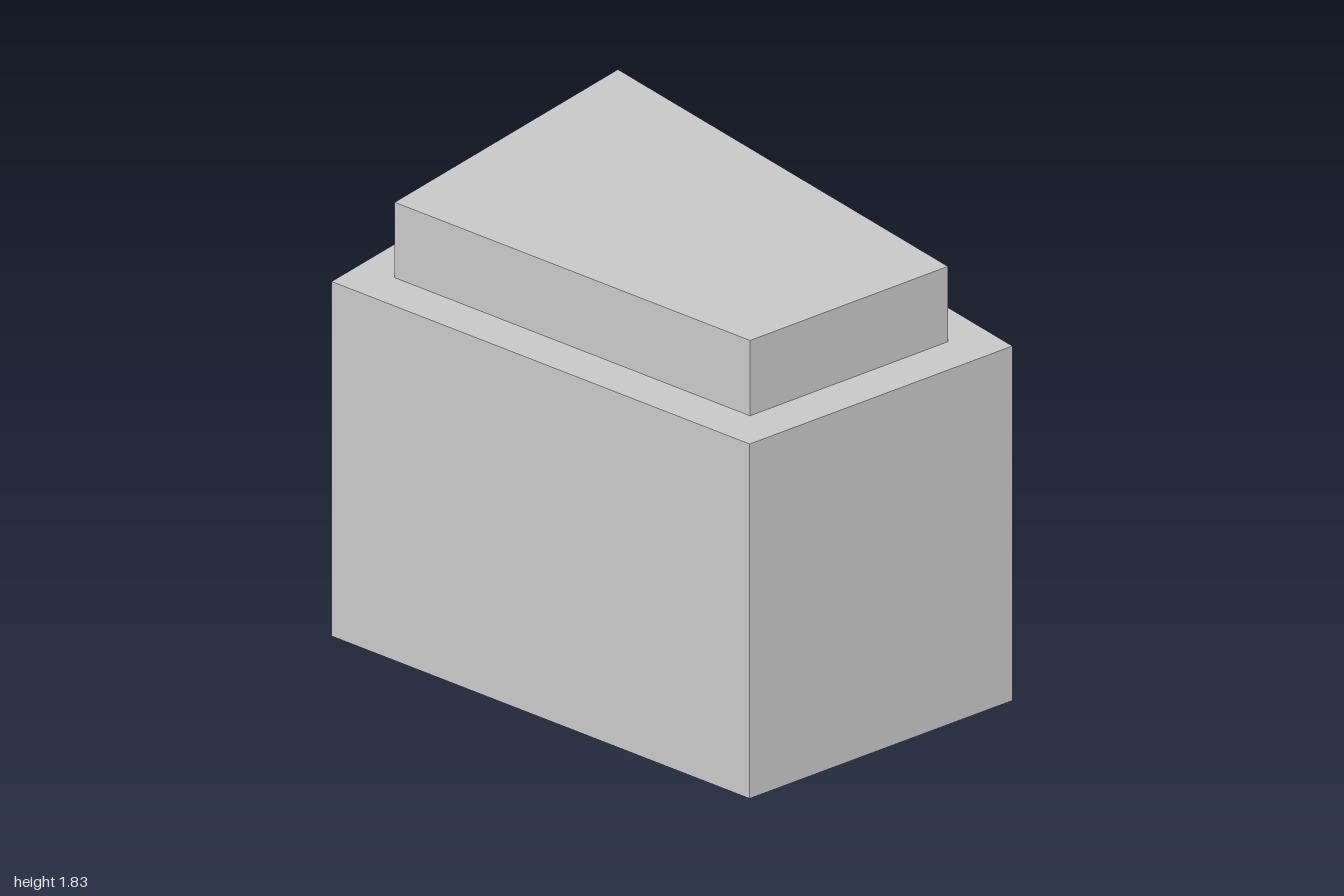
import * as THREE from 'three';

const material = new THREE.MeshStandardMaterial({ color: 0xcccccc, flatShading: true });

// Upright prism over a ground plan of [x, z] corners
function prism(name, plan, bottom, top) {
  const shape = new THREE.Shape(plan.map(([x, z]) => new THREE.Vector2(x, -z)));
  const geometry = new THREE.ExtrudeGeometry(shape, { depth: top - bottom, bevelEnabled: false });
  geometry.rotateX(-Math.PI / 2);
  geometry.translate(0, bottom, 0);
  const mesh = new THREE.Mesh(geometry, material);
  mesh.name = name;
  return mesh;
}

export function createModel() {
  const group = new THREE.Group();
  group.name = 'building';

  // Main block on an irregular four-sided plot
  const outer = [[-0.402, 0.779], [0.676, 1], [0.726, -1], [-0.728, -0.964]];
  group.add(prism('mainBlock', outer, 0, 1.505));

  // Set-back top storey, following the same outline
  const inner = [[-0.278, 0.657], [0.535, 0.822], [0.577, -0.854], [-0.555, -0.825]];
  group.add(prism('topStorey', inner, 1.505, 1.825));

  return group;
}
